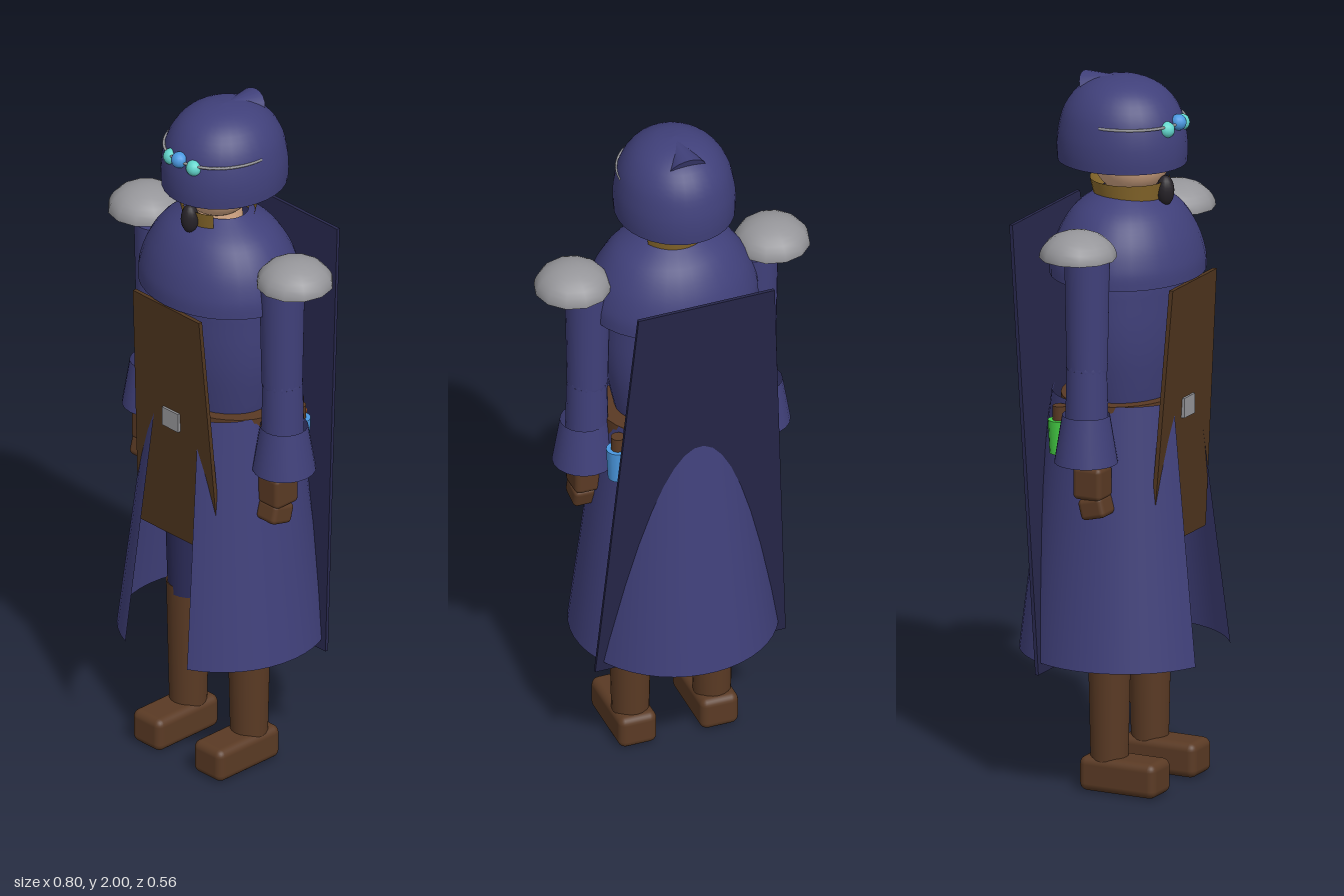
import * as THREE from 'three';
import { RoundedBoxGeometry } from 'three/addons/geometries/RoundedBoxGeometry.js';

const mat = (color) => new THREE.MeshStandardMaterial({ color, side: THREE.DoubleSide, roughness: 0.8 });
const cloth = mat(0x40407a), capeCloth = mat(0x26264a), trouser = mat(0x2b2b58);
const leather = mat(0x5a3a24), apronLeather = mat(0x50361f), metal = mat(0x96969a);
const skin = mat(0xd8aa88), gold = mat(0x8a6a2c), dark = mat(0x262228);
const blue = mat(0x4a98e0), teal = mat(0x62d6cc), green = mat(0x44cc44), orange = mat(0xd0682c);

export function createModel() {
  const model = new THREE.Group();

  const add = (name, geometry, material, x = 0, y = 0, z = 0) => {
    const mesh = new THREE.Mesh(geometry, material);
    mesh.name = name;
    mesh.position.set(x, y, z);
    model.add(mesh);
    return mesh;
  };
  // smooth turned surface through [radius, height] points
  const turned = (points, segments = 32) => {
    const curve = new THREE.SplineCurve(points.map(([r, y]) => new THREE.Vector2(r, y)));
    const pts = curve.getPoints(20);
    pts.forEach((p) => { p.x = Math.max(0, p.x); });
    return new THREE.LatheGeometry(pts, segments);
  };
  // thin hanging panel with a straight flare and a lean in z
  const panel = (topHalf, bottomHalf, topY, bottomY, topZ, bottomZ, thick) => {
    const g = new THREE.BoxGeometry(1, 1, thick);
    const p = g.attributes.position;
    for (let i = 0; i < p.count; i++) {
      const top = p.getY(i) > 0;
      p.setXYZ(i, p.getX(i) * 2 * (top ? topHalf : bottomHalf), top ? topY : bottomY,
        p.getZ(i) + (top ? topZ : bottomZ));
    }
    g.computeVertexNormals();
    return g;
  };

  // head, beard and open collar
  add('head', new THREE.SphereGeometry(0.11, 24, 18), skin, 0, 1.78, 0.02);
  add('beard', new THREE.SphereGeometry(0.025, 14, 12), dark, 0, 1.688, 0.125).scale.set(1, 1.7, 1);
  add('neck', new THREE.CylinderGeometry(0.06, 0.07, 0.12, 16), skin, 0, 1.68, 0.015);
  add('collar', new THREE.CylinderGeometry(0.11, 0.095, 0.065, 24, 1, true, 2.1, 4.85), gold, 0, 1.682, 0.015);

  // hat with a tip folded backwards
  add('hat', turned([[0.165, 1.76], [0.167, 1.8], [0.163, 1.85], [0.147, 1.91],
    [0.112, 1.96], [0.06, 1.99], [0, 1.999]]), cloth, 0, 0, -0.008).scale.z = 1.1;
  const tip = add('hatTip', new THREE.ConeGeometry(0.055, 0.12, 20), cloth, 0, 1.972, -0.05);
  tip.rotation.x = Math.PI / 2 - 0.43;

  // headband with three gems
  const band = add('headband', new THREE.TorusGeometry(0.153, 0.004, 6, 40, Math.PI), metal, 0, 1.885, 0);
  band.rotation.x = Math.PI / 2;
  band.scale.y = 1.1;
  for (const s of [-1, 0, 1]) {
    add('gem', new THREE.SphereGeometry(0.023, 14, 10), s ? teal : blue,
      s * 0.045, s ? 1.875 : 1.887, s ? 0.152 : 0.165);
  }

  // torso and shoulder capelet
  add('torso', turned([[0.15, 1.06], [0.172, 1.15], [0.193, 1.26], [0.2, 1.38],
    [0.19, 1.5], [0.1, 1.62]]), cloth, 0, 0, 0.01).scale.z = 0.78;
  add('capelet', turned([[0.242, 1.45], [0.238, 1.5], [0.212, 1.57], [0.163, 1.635],
    [0.085, 1.685]]), cloth, 0, 0, 0.01).scale.z = 0.86;

  // coat skirt, open at the front
  const gapLeft = 0.46, gapRight = 0.36;
  add('coatSkirt', new THREE.CylinderGeometry(0.2, 0.29, 0.735, 40, 1, true, gapLeft,
    Math.PI * 2 - gapLeft - gapRight), cloth, 0, 0.7425, 0);

  // belt, buckle, front apron and back cape
  add('belt', new THREE.CylinderGeometry(0.207, 0.207, 0.05, 32), leather, 0, 1.085, 0).scale.z = 0.8;
  add('apron', panel(0.13, 0.16, 1.445, 0.7, 0.21, 0.16, 0.012), apronLeather);
  add('buckle', new THREE.BoxGeometry(0.063, 0.056, 0.025), metal, 0, 1.085, 0.188);
  add('cape', panel(0.2, 0.28, 1.59, 0.345, -0.248, -0.126, 0.01), capeCloth);

  // vials hanging from the belt
  const vial = (name, material, x, z, r, y = 1.01) => {
    add(name, new THREE.CylinderGeometry(r, r * 0.85, 0.095, 14), material, x, y, z);
    add(name + 'Stopper', new THREE.CylinderGeometry(r * 0.6, r * 0.6, 0.045, 12), leather, x, y + 0.065, z);
  };
  vial('blueVial', blue, 0.2, -0.097, 0.033);
  vial('orangeVial', orange, 0.175, -0.125, 0.02, 1.013);
  vial('greenVial', green, -0.2, -0.097, 0.033);

  for (const s of [-1, 1]) {
    // shoulder plate
    const plate = add('shoulderPlate', new THREE.SphereGeometry(0.107, 12, 8, 0, Math.PI * 2, 0, Math.PI / 2),
      metal, s * 0.293, 1.556, 0.008);
    plate.scale.y = 0.7;
    const base = add('shoulderPlateBase', new THREE.CircleGeometry(0.107, 12), metal, s * 0.293, 1.556, 0.008);
    base.rotation.x = Math.PI / 2;

    // sleeve and flared cuff
    add('upperSleeve', new THREE.CylinderGeometry(0.063, 0.057, 0.31, 20), cloth, s * 0.247, 1.385, 0.012);
    add('elbow', new THREE.SphereGeometry(0.057, 16, 12), cloth, s * 0.248, 1.23, 0.012);
    add('lowerSleeve', new THREE.CylinderGeometry(0.056, 0.06, 0.17, 20), cloth, s * 0.249, 1.145, 0.012);
    add('cuff', new THREE.CylinderGeometry(0.066, 0.088, 0.135, 20, 1, true), cloth, s * 0.257, 1.033, 0.014);

    // glove
    add('palm', new THREE.CylinderGeometry(0.035, 0.035, 0.12, 12), leather, s * 0.25, 1.0, 0.028);
    add('palm', new RoundedBoxGeometry(0.08, 0.095, 0.088, 2, 0.015), leather, s * 0.25, 0.91, 0.03);
    const fingers = add('fingers', new RoundedBoxGeometry(0.074, 0.06, 0.076, 2, 0.014), leather,
      s * 0.25, 0.84, 0.042);
    fingers.rotation.x = -0.25;

    // leg and boot
    add('trouserLeg', new THREE.CylinderGeometry(0.08, 0.06, 0.64, 20), trouser, s * 0.115, 0.76, 0.015);
    add('bootShaft', new THREE.CylinderGeometry(0.061, 0.052, 0.4, 20), leather, s * 0.12, 0.265, 0.015);
    add('bootFoot', new RoundedBoxGeometry(0.112, 0.098, 0.235, 3, 0.022), leather, s * 0.12, 0.049, 0.0625);
  }
  return model;
}
